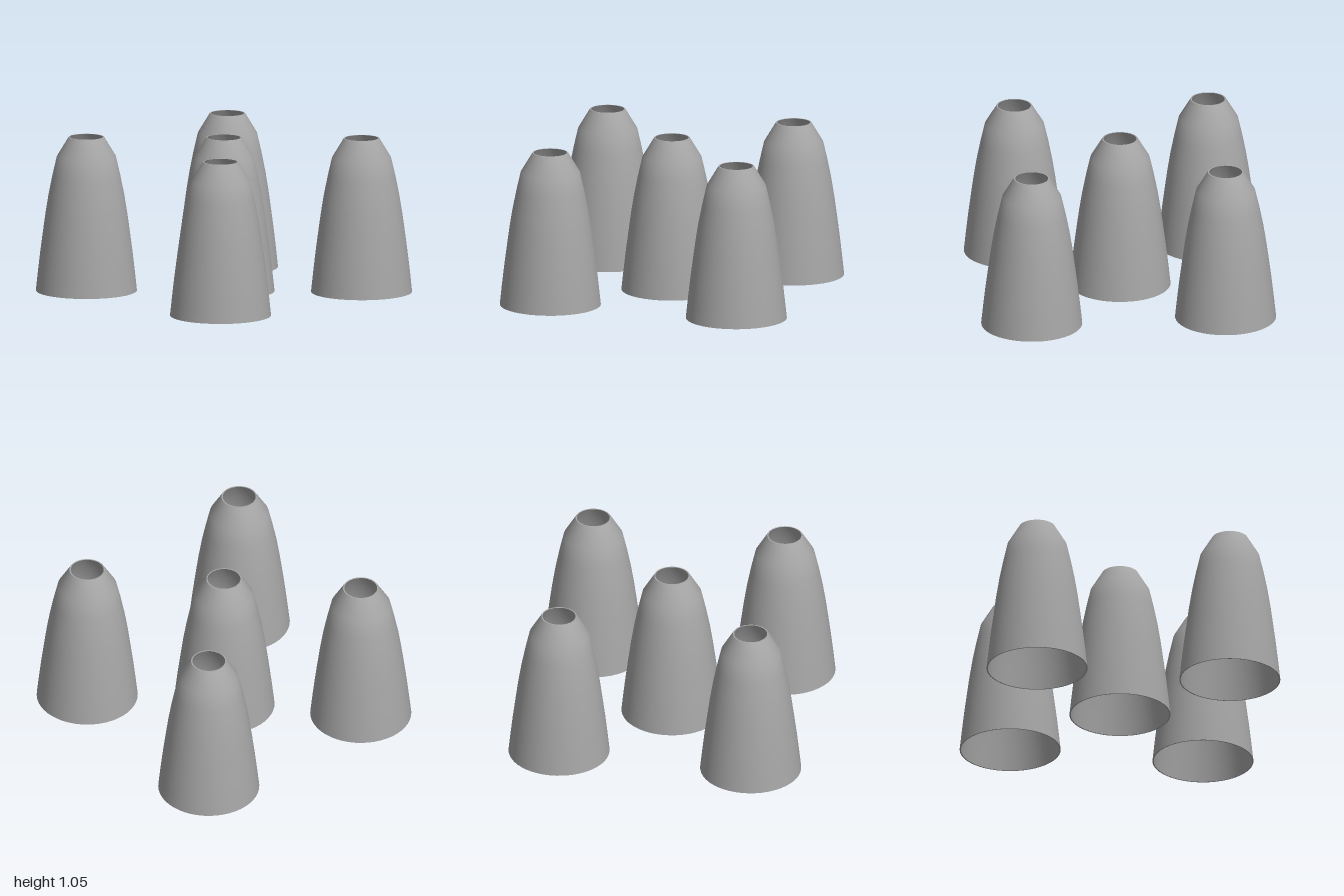
import * as THREE from 'three';
import { mergeGeometries } from 'three/addons/utils/BufferGeometryUtils.js';

const WALL = 0.009;
const SPACING = 0.658;

// Bell outline, [radius, height] from the wide mouth to the narrow throat
const OUTLINE = [
  [0.342, 0], [0.328, 0.13], [0.313, 0.26], [0.296, 0.39], [0.277, 0.53],
  [0.256, 0.66], [0.23, 0.79], [0.2, 0.92], [0.12, 1.053],
];

// Hollow bell: outer skin, throat rim, inner skin and mouth rim, with sharp edges between them
function bellGeometry() {
  const outer = OUTLINE.map(([r, y]) => new THREE.Vector2(r, y));
  const inner = OUTLINE.map(([r, y]) => new THREE.Vector2(r - WALL, y)).reverse();
  const sections = [
    outer,
    [outer[outer.length - 1], inner[0]],
    inner,
    [inner[inner.length - 1], outer[0]],
  ];
  return mergeGeometries(sections.map((points) => new THREE.LatheGeometry(points, 48)));
}

export function createModel() {
  const model = new THREE.Group();
  model.name = 'nozzleCluster';
  const metal = new THREE.MeshStandardMaterial({ color: 0xa6a6a6 });
  metal.name = 'grey metal';
  const geometry = bellGeometry();

  // One nozzle in the middle and one at each corner
  const places = [
    ['centreNozzle', 0, 0],
    ['frontLeftNozzle', 1, 1],
    ['frontRightNozzle', -1, 1],
    ['backLeftNozzle', 1, -1],
    ['backRightNozzle', -1, -1],
  ];
  for (const [name, x, z] of places) {
    const nozzle = new THREE.Mesh(geometry, metal);
    nozzle.name = name;
    nozzle.position.set(x * SPACING, 0, z * SPACING);
    model.add(nozzle);
  }
  return model;
}
